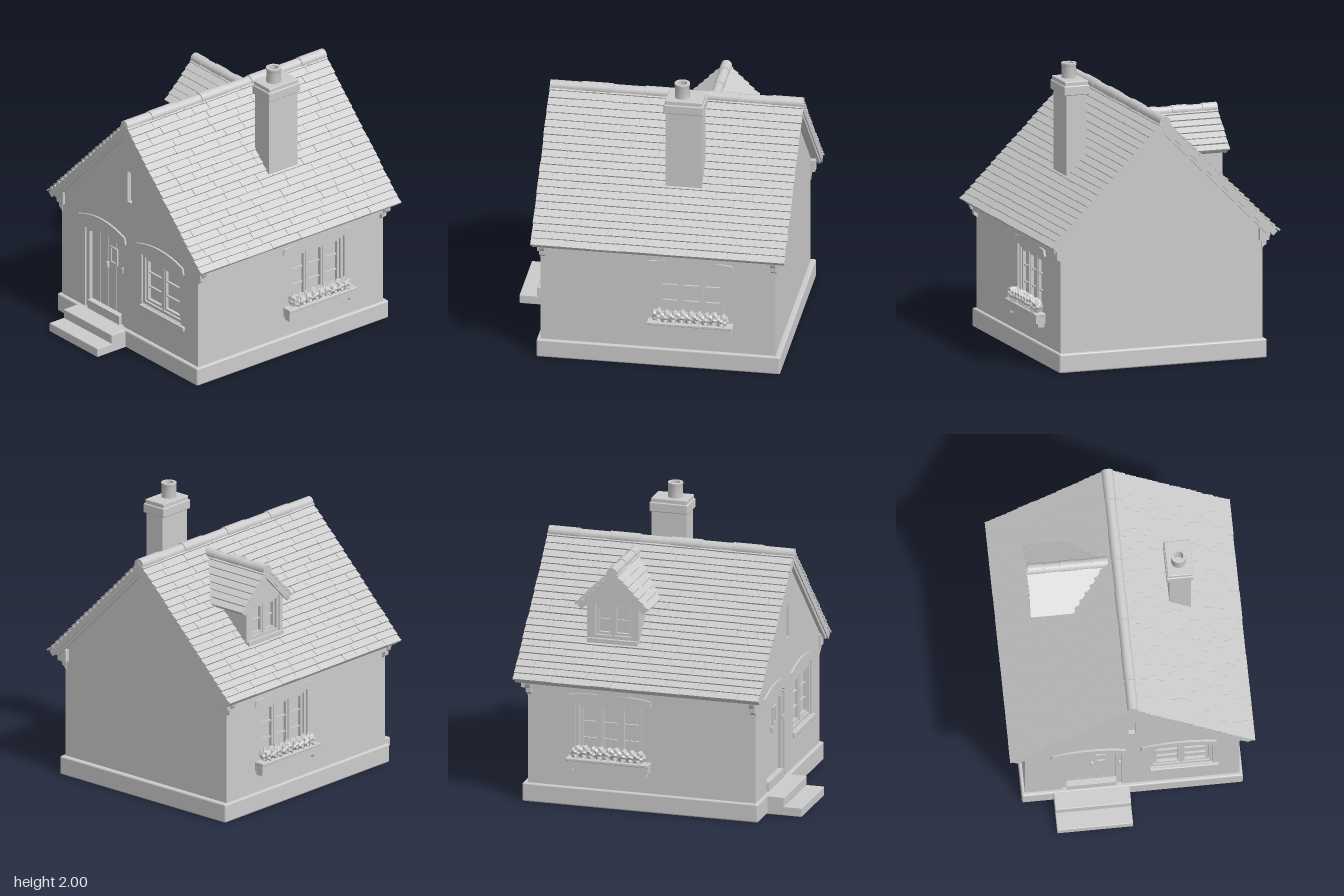
import * as THREE from 'three';
import { mergeGeometries, toCreasedNormals } from 'three/addons/utils/BufferGeometryUtils.js';
import { RoundedBoxGeometry } from 'three/addons/geometries/RoundedBoxGeometry.js';

const mat = new THREE.MeshStandardMaterial({ color: 0xcccccc });
const flat = new THREE.MeshStandardMaterial({ color: 0xcccccc, flatShading: true });
let seed = 7;
const rnd = () => (seed = (seed * 16807) % 2147483647) / 2147483647;

function add(parent, name, geo, m = mat) {
  const mesh = new THREE.Mesh(geo, m);
  mesh.name = name;
  parent.add(mesh);
  return mesh;
}
function sub(parent, name) {
  const g = new THREE.Group();
  g.name = name;
  parent.add(g);
  return g;
}
// box given by its minimum and maximum on each axis
function box(x0, x1, y0, y1, z0, z1, r = 0) {
  const s = [x1 - x0, y1 - y0, z1 - z0];
  const g = r ? new RoundedBoxGeometry(...s, 2, r) : new THREE.BoxGeometry(...s);
  return g.translate((x0 + x1) / 2, (y0 + y1) / 2, (z0 + z1) / 2);
}
const poly = pts => new THREE.Shape(pts.map(p => new THREE.Vector2(...p)));
const rect = (x0, x1, y0, y1) => poly([[x0, y0], [x1, y0], [x1, y1], [x0, y1]]);
// plate with optional holes, from z0 to z1
function plate(shape, z0, z1, holes = []) {
  shape.holes.push(...holes);
  const g = new THREE.ExtrudeGeometry(shape, { depth: z1 - z0, bevelEnabled: false, curveSegments: 8 });
  return toCreasedNormals(g.translate(0, 0, z0), 0.6);
}
// upright opening with a shallow arched head
function archShape(x0, x1, y0, y1, rise) {
  const s = new THREE.Shape();
  s.moveTo(x0, y0).lineTo(x1, y0).lineTo(x1, y1);
  s.quadraticCurveTo((x0 + x1) / 2, y1 + 2 * rise, x0, y1);
  return s;
}
// curved drip hood above an opening
function hood(x0, x1, y0, y1, t) {
  const s = new THREE.Shape(), m = (x0 + x1) / 2, e = 0.05, top = 2 * y1 - y0 - t;
  s.moveTo(x0, y0).lineTo(x0 + e, y0 - 0.01).quadraticCurveTo(m, top - t, x1 - e, y0 - 0.01);
  s.lineTo(x1, y0).lineTo(x1 - 0.012, y0 + t).quadraticCurveTo(m, top, x0 + 0.012, y0 + t);
  return plate(s, -0.01, 0.014);
}
// inverted V following a 45 degree roof whose peak is at y = peak
const chevron = (peak, thick, w) => poly([[0, peak], [-w, peak - w], [-w + thick / 2, peak - w - thick / 2],
  [0, peak - thick], [w - thick / 2, peak - w - thick / 2], [w, peak - w]]);

// overlapping tiles on one 45 degree slope; range(x) gives the z limits of a course
function tiles(side, run, rows, size, range) {
  const out = [], c = Math.SQRT1_2, step = run / c / rows;
  for (let i = 0; i < rows; i++) {
    const d = (i + 0.5) * step, [za, zb] = range(d * c);
    let z = za - rnd() * 0.005;
    while (z < zb - 0.01) {
      let e = z + size * (0.6 + 0.8 * rnd());
      if (e > zb - size * 0.4) e = zb + rnd() * 0.005;
      const len = step * 1.12 + rnd() * 0.006, g = new THREE.BoxGeometry(len, 0.013, e - z - 0.003);
      g.rotateZ(-side * (Math.PI / 4 - 0.2));
      const n = -0.004 + rnd() * 0.003;
      out.push(g.translate(side * (d + n) * c, (n - d) * c, (z + e) / 2));
      z = e;
    }
  }
  return mergeGeometries(out);
}
// row of rounded ridge tiles along z
function ridge(z0, z1, count, r) {
  const out = [], L = (z1 - z0) / count;
  for (let i = 0; i < count; i++) {
    const k = r * (i % 2 ? 0.93 : 1);
    out.push(new THREE.CylinderGeometry(k, k, L * 0.99, 14).rotateX(Math.PI / 2)
      .translate(0, i % 2 ? -0.003 : 0, z0 + (i + 0.5) * L));
  }
  return mergeGeometries(out);
}
// window set back in an opening of the given limits, facing +z
function windowUnit(parent, x0, x1, y0, y1, lights, bars) {
  const g = sub(parent, 'window'), f = 0.022;
  add(g, 'glass', box(x0, x1, y0, y1, -0.07, -0.045));
  add(g, 'windowFrame', plate(rect(x0, x1, y0, y1), -0.05, -0.012, [rect(x0 + f, x1 - f, y0 + f, y1 - f)]));
  const w = (x1 - x0 - 2 * f) / lights;
  for (let i = 0; i < lights; i++) {
    const a = x0 + f + i * w + 0.006, b = a + w - 0.012, c = y0 + f + 0.004, d = y1 - f - 0.004, k = 0.016;
    add(g, 'casement', plate(rect(a, b, c, d), -0.05, -0.022, [rect(a + k, b - k, c + k, d - k)]));
    for (let j = 1; j <= bars; j++) {
      const y = c + (d - c) * j / (bars + 1);
      add(g, 'glazingBar', box(a + k, b - k, y - 0.005, y + 0.005, -0.05, -0.03));
    }
    if (i) add(g, 'mullion', box(a - 0.014, a + 0.002, y0 + f, y1 - f, -0.05, -0.016));
  }
  return g;
}
function flowerBox(parent, cx) {
  const g = sub(parent, 'flowerBox');
  add(g, 'planter', box(cx - 0.29, cx + 0.29, 0.285, 0.335, 0, 0.068));
  add(g, 'planterRim', box(cx - 0.295, cx + 0.295, 0.335, 0.355, 0, 0.078, 0.005));
  for (const s of [-1, 1]) add(g, 'planterBracket', box(cx + s * 0.265 - 0.01, cx + s * 0.265 + 0.01, 0.255, 0.29, 0, 0.05));
  for (let i = 0; i < 9; i++) {
    const b = new THREE.IcosahedronGeometry(0.043, 2), p = b.attributes.position, k = rnd() * 6;
    for (let j = 0; j < p.count; j++) {
      const x = p.getX(j) * 160, y = p.getY(j) * 160, z = p.getZ(j) * 160;
      const s = 1 + 0.2 * Math.sin(x + k) * Math.cos(y * 1.2 - k) + 0.14 * Math.sin(z * 1.4 + x);
      p.setXYZ(j, p.getX(j) * s, p.getY(j) * s, p.getZ(j) * s);
    }
    b.translate(cx - 0.222 + i * 0.0555, 0.39 + 0.012 * rnd(), 0.04);
    add(g, 'flowers', b, flat);
  }
}

export function createModel() {
  const house = new THREE.Group();
  house.name = 'cottage';
  const W = 0.735, ZF = 0.72, ZB = -0.905, RF = 0.772, RB = -0.98;

  // plinth and entrance steps
  add(house, 'plinth', box(-0.757, 0.757, 0, 0.132, -0.94, 0.745, 0.012));
  add(house, 'lowerStep', box(-0.54, -0.02, 0, 0.065, 0.7, 0.99, 0.006));
  add(house, 'upperStep', box(-0.54, -0.02, 0, 0.13, 0.7, 0.865, 0.006));

  // gable walls, the front one with its openings
  const gable = () => poly([[-W, 0.1], [W, 0.1], [W, 0.94], [0, 1.67], [-W, 0.94]]);
  add(house, 'backWall', plate(gable(), ZB, ZB + 0.1));
  const front = sub(house, 'front');
  front.position.z = ZF;
  add(front, 'frontWall', plate(gable(), -0.1, 0, [
    archShape(-0.485, -0.07, 0.125, 0.73, 0.05), rect(0.125, 0.55, 0.385, 0.76), rect(-0.025, 0.022, 1.1, 1.33)]));
  add(front, 'ventSlot', box(-0.03, 0.03, 1.09, 1.34, -0.08, -0.03));
  windowUnit(front, 0.125, 0.55, 0.385, 0.76, 2, 2);
  add(front, 'windowSill', box(0.12, 0.592, 0.347, 0.382, -0.04, 0.018, 0.006));
  add(front, 'windowHood', hood(0.055, 0.59, 0.775, 0.87, 0.05));
  add(front, 'doorHood', hood(-0.56, -0.035, 0.765, 0.865, 0.05));

  // door
  const door = sub(front, 'door');
  add(door, 'doorFrame', plate(archShape(-0.485, -0.07, 0.125, 0.73, 0.05), -0.07, -0.012,
    [archShape(-0.45, -0.108, 0.15, 0.71, 0.035)]));
  add(door, 'threshold', box(-0.45, -0.108, 0.13, 0.195, -0.07, 0.008));
  for (let i = 0; i < 4; i++) {
    const a = -0.45 + i * 0.0855;
    add(door, 'doorPlank', box(a + 0.002, a + 0.0835, 0.195, 0.75, -0.068, -0.035));
  }
  add(door, 'doorBacking', box(-0.47, -0.09, 0.15, 0.78, -0.09, -0.06));
  add(door, 'doorLight', plate(rect(-0.248, -0.168, 0.545, 0.67), -0.04, -0.024, [rect(-0.236, -0.18, 0.557, 0.658)]));
  add(door, 'doorHandle', box(-0.282, -0.264, 0.495, 0.54, -0.04, -0.015, 0.005));
  add(door, 'bellPull', box(-0.094, -0.076, 0.53, 0.57, -0.02, 0.004, 0.004));

  // side walls, each with a window, a flower box, an eaves board and corbels
  for (const s of [1, -1]) {
    const side = sub(house, s > 0 ? 'leftSide' : 'rightSide');
    side.position.x = s * W;
    side.rotation.y = s * Math.PI / 2;
    const c = s * 0.32, ends = [-s * (ZF - 0.005), -s * (ZB + 0.005)].sort((a, b) => a - b);
    const opening = [c - 0.245, c + 0.245, 0.335, 0.74];
    add(side, 'sideWall', plate(rect(...ends, 0.1, 0.94), -0.1, 0, [rect(...opening)]));
    windowUnit(side, ...opening, 3, 2);
    add(side, 'windowHood', hood(c - 0.3, c + 0.3, 0.752, 0.812, 0.04));
    flowerBox(side, c);
    const e = [-s * 0.735, s * 0.94].sort((a, b) => a - b);
    add(side, 'eavesBoard', box(...e, 0.82, 0.905, -0.03, 0.04));
    for (const z of [0.705, -0.893]) {
      const k = new THREE.Shape();
      k.moveTo(-0.01, 0.75).quadraticCurveTo(0.005, 0.775, 0.028, 0.785).lineTo(0.03, 0.815);
      k.quadraticCurveTo(0.06, 0.825, 0.062, 0.905).lineTo(-0.01, 0.905);
      const g = plate(k, -0.018, 0.018).rotateY(-Math.PI / 2).translate(-s * z, 0, 0);
      add(side, 'corbel', g);
    }
  }

  // main roof
  const roof = sub(house, 'roof');
  add(roof, 'roofDeck', plate(chevron(1.705, 0.06, 0.82), RB + 0.004, RF - 0.004));
  for (const z of [RF - 0.03, RB + 0.012]) add(roof, 'bargeboard', plate(chevron(1.69, 0.075, 0.79), z, z + 0.018));
  for (const s of [1, -1]) add(roof, 'roofTiles', tiles(s, 0.83, 22, 0.2, () => [RB, RF]).translate(0, 1.72, 0));
  add(roof, 'ridgeTiles', ridge(RB, RF, 8, 0.04), mat).position.y = 1.702;

  // dormer, facing -x; its own z runs outwards
  const dormer = sub(house, 'dormer');
  dormer.position.set(0, 0, -0.345);
  dormer.rotation.y = -Math.PI / 2;
  const P = 1.655, D = 0.61, w = 0.185;
  add(dormer, 'dormerWall', plate(poly([[-w, 1.05], [w, 1.05], [w, P - 0.04 - w], [0, P - 0.04], [-w, P - 0.04 - w]]), 0.15, 0.585,
    [rect(-0.15, 0.15, 1.16, 1.42)]));
  const dw = sub(dormer, 'dormerWindow');
  dw.position.z = 0.59;
  windowUnit(dw, -0.15, 0.15, 1.16, 1.42, 2, 1);
  add(dw, 'dormerSill', box(-0.18, 0.18, 1.13, 1.16, -0.04, 0.012));
  // roof planes cut where they meet the main slope
  for (const s of [1, -1]) {
    add(dormer, 'dormerTiles', tiles(s, 0.258, 7, 0.9, x => [Math.max(0.05, 1.69 - P + x), D]).translate(0, P, 0));
  }
  add(dormer, 'dormerDeck', plate(chevron(P - 0.014, 0.04, 0.25), 0.27, D - 0.006));
  for (const s of [1, -1]) {
    add(dormer, 'dormerEaves', box(s * 0.205 - 0.025, s * 0.205 + 0.025, P - 0.27, P - 0.23, 0.3, D - 0.015));
  }
  add(dormer, 'dormerBargeboard', plate(chevron(P - 0.02, 0.055, 0.245), D - 0.025, D - 0.008));
  add(dormer, 'dormerRidge', ridge(0.06, D, 5, 0.038), mat).position.y = P - 0.016;

  // chimney
  const chimney = sub(house, 'chimney');
  chimney.position.set(0.412, 0, -0.23);
  add(chimney, 'stack', box(-0.074, 0.074, 1.15, 1.82, -0.125, 0.125));
  add(chimney, 'capBand', box(-0.093, 0.093, 1.8, 1.868, -0.137, 0.137, 0.008));
  add(chimney, 'capTop', box(-0.085, 0.085, 1.85, 1.897, -0.128, 0.128, 0.006));
  const pot = [[0.052, 1.89], [0.05, 1.98], [0.053, 1.985], [0.053, 2], [0.032, 2], [0.03, 1.9], [0, 1.9]];
  const potGeo = new THREE.LatheGeometry(pot.map(p => new THREE.Vector2(...p)), 20);
  add(chimney, 'chimneyPot', toCreasedNormals(potGeo, 0.6)).position.z = 0.022;

  return house;
}
